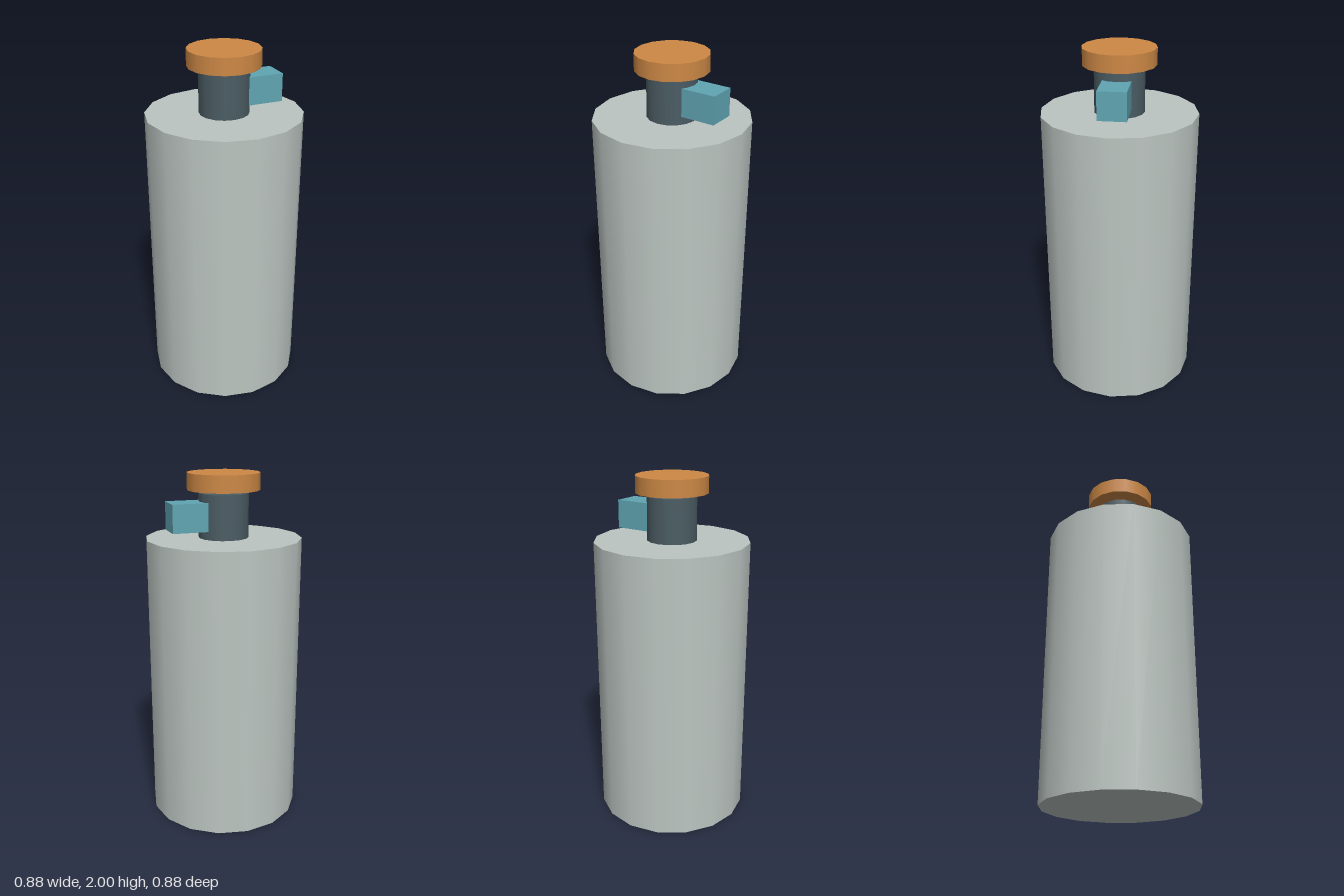
import * as THREE from 'three';

const SIDES = 16;

function material(name, color) {
  const m = new THREE.MeshStandardMaterial({ color });
  m.name = name;
  return m;
}

export function createModel() {
  const model = new THREE.Group();
  model.name = 'pumpBottle';

  const grey = material('pale grey', 0xbcc5c1);
  const slate = material('dark slate', 0x4b5d64);
  const orange = material('orange', 0xcd8845);
  const teal = material('teal', 0x60a5b3);

  // Upright smooth-sided drum between two heights
  function drum(name, radius, y0, y1, mat) {
    const mesh = new THREE.Mesh(new THREE.CylinderGeometry(radius, radius, y1 - y0, SIDES), mat);
    mesh.name = name;
    mesh.position.y = (y0 + y1) / 2;
    model.add(mesh);
  }

  drum('body', 0.438, 0, 1.645, grey);
  drum('neck', 0.14, 1.645, 1.89, slate);
  // Cap floats just above the neck
  drum('cap', 0.203, 1.906, 2, orange);

  // Square spout on the left of the neck
  const spout = new THREE.Mesh(new THREE.BoxGeometry(0.2, 0.156, 0.156), teal);
  spout.name = 'spout';
  spout.position.set(0.213, 1.768, 0);
  model.add(spout);

  return model;
}
